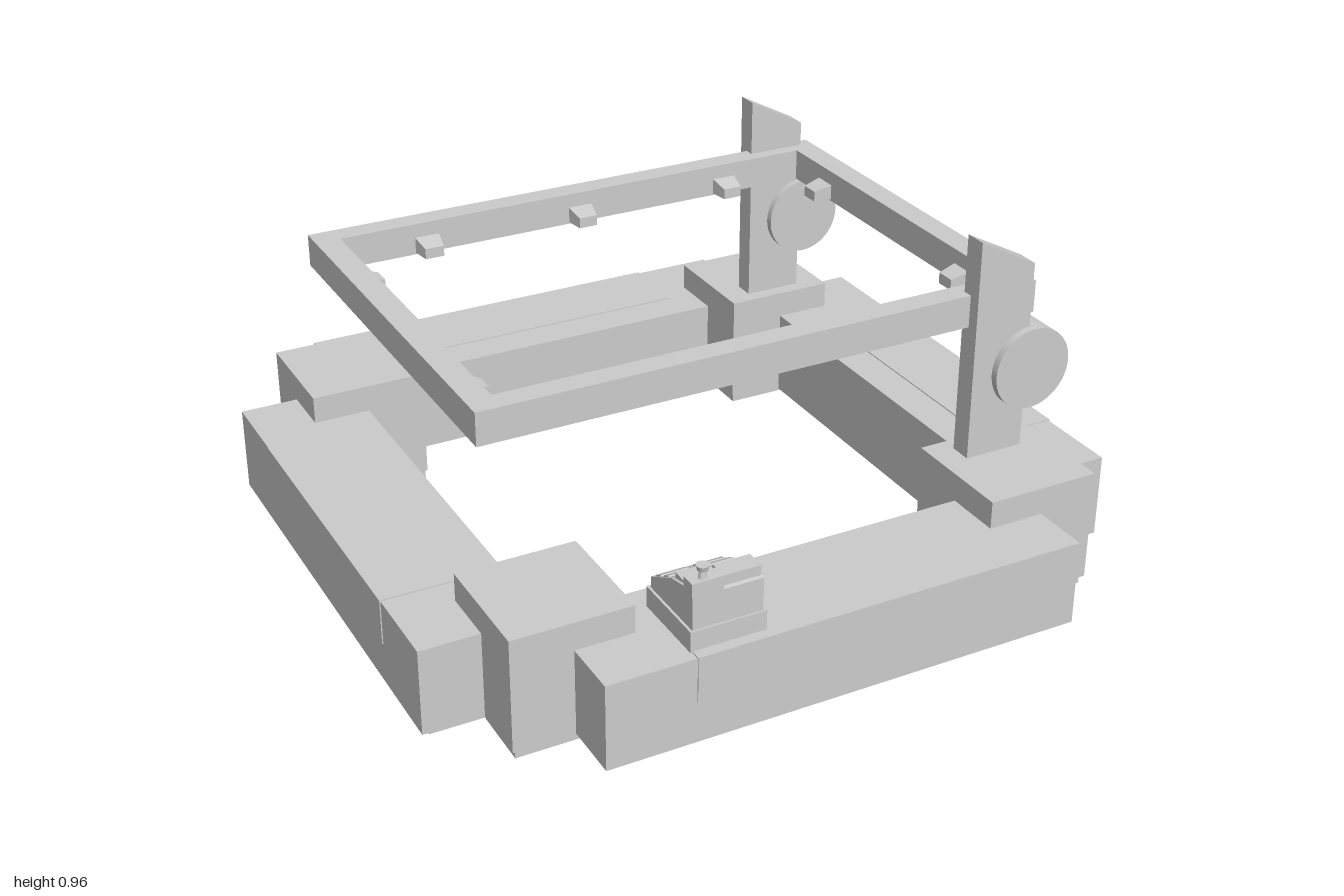
import * as THREE from 'three';

const material = new THREE.MeshStandardMaterial({ color: 0xcccccc });

function add(parent, name, geometry, x = 0, y = 0, z = 0) {
  const mesh = new THREE.Mesh(geometry, material);
  mesh.name = name;
  mesh.position.set(x, y, z);
  parent.add(mesh);
  return mesh;
}

// Box given by its minimum and maximum on each axis
function box(parent, name, [x0, x1], [y0, y1], [z0, z1]) {
  return add(parent, name, new THREE.BoxGeometry(x1 - x0, y1 - y0, z1 - z0),
    (x0 + x1) / 2, (y0 + y1) / 2, (z0 + z1) / 2);
}

// Outline extruded along z and centred on it
function extrude(points, depth) {
  const shape = new THREE.Shape(points.map(([x, y]) => new THREE.Vector2(x, y)));
  return new THREE.ExtrudeGeometry(shape, { depth, bevelEnabled: false }).translate(0, 0, -depth / 2);
}

// One side of the base, with recessed plinth and thin outer cover
function createBeam() {
  const beam = new THREE.Group();
  beam.name = 'baseBeam';
  box(beam, 'beamBody', [-0.67, 0.67], [0.025, 0.263], [0.675, 0.997]);
  box(beam, 'beamPlinth', [-0.65, 0.65], [0.005, 0.025], [0.68, 0.972]);
  box(beam, 'beamCover', [-0.43, 0.43], [0.14, 0.266], [0.78, 1]);
  return beam;
}

// Raised block at a corner of the base
function createCorner() {
  const corner = new THREE.Group();
  corner.name = 'cornerBlock';
  box(corner, 'cornerBody', [0.51, 0.835], [0.025, 0.34], [0.51, 0.835]);
  box(corner, 'cornerPlinth', [0.515, 0.825], [0, 0.025], [0.515, 0.825]);
  return corner;
}

// Slanted post with its round drive housing
function createPost(z) {
  const post = new THREE.Group();
  post.name = 'post';
  add(post, 'postColumn', extrude([[0.585, 0.34], [0.755, 0.34], [0.755, 0.87], [0.585, 0.96]], 0.062), 0, 0, z);
  const drive = add(post, 'driveHousing', new THREE.CylinderGeometry(0.115, 0.115, 0.105, 64), 0.76, 0.575, z);
  drive.rotation.x = Math.PI / 2;
  return post;
}

// Raised rectangular frame with inward clips
function createFrame() {
  const frame = new THREE.Group();
  frame.name = 'upperFrame';
  const rect = (w, d) => [[-w, -d], [w, -d], [w, d], [-w, d]].map(([x, y]) => new THREE.Vector2(x, y));
  const shape = new THREE.Shape(rect(0.79, 0.58));
  shape.holes.push(new THREE.Path(rect(0.72, 0.515)));
  const rail = add(frame, 'frameRail',
    new THREE.ExtrudeGeometry(shape, { depth: 0.09, bevelEnabled: false }), 0, 0.8, 0);
  rail.rotation.x = Math.PI / 2;

  // Wedge clip pointing along +z, tapering towards its tip
  const clip = new THREE.BoxGeometry(0.07, 0.045, 0.055);
  const p = clip.attributes.position;
  for (let i = 0; i < p.count; i++) {
    if (p.getZ(i) > 0) {
      p.setX(i, p.getX(i) * 0.78);
      if (p.getY(i) > 0) p.setY(i, 0.008);
    }
  }
  clip.computeVertexNormals();
  for (const s of [-1, 1]) {
    for (const x of [-0.47, 0, 0.47]) {
      add(frame, 'clip', clip, x, 0.737, s * 0.488).rotation.y = s > 0 ? Math.PI : 0;
    }
    for (const z of [-0.35, 0.35]) {
      add(frame, 'clip', clip, s * 0.695, 0.737, z).rotation.y = -s * Math.PI / 2;
    }
  }
  return frame;
}

// Sloped control desk with keys and a joystick
function createConsole() {
  const desk = new THREE.Group();
  desk.name = 'controlConsole';
  box(desk, 'consoleBase', [-0.435, -0.23], [0.263, 0.32], [0.745, 0.97]);
  const profile = [[0.755, 0.32], [0.965, 0.32], [0.965, 0.41], [0.925, 0.42], [0.86, 0.405], [0.755, 0.35]];
  const body = add(desk, 'consoleBody', extrude(profile, 0.19), -0.333, 0, 0);
  body.rotation.y = -Math.PI / 2;
  box(desk, 'rearPanel', [-0.34, -0.24], [0.41, 0.44], [0.9, 0.955]);
  box(desk, 'joystickBox', [-0.43, -0.345], [0.41, 0.447], [0.925, 0.965]);
  add(desk, 'joystickStem', new THREE.CylinderGeometry(0.007, 0.012, 0.03, 16), -0.393, 0.456, 0.948);
  add(desk, 'joystickKnob', new THREE.CylinderGeometry(0.017, 0.013, 0.014, 20), -0.393, 0.475, 0.948);
  // Keys lie on the slope
  for (const x of [-0.385, -0.285]) {
    for (const z of [0.785, 0.825]) {
      const key = add(desk, 'key', new THREE.BoxGeometry(0.075, 0.006, 0.025), x, 0.351 + (z - 0.755) * 0.524, z);
      key.rotation.x = -Math.atan(0.524);
    }
  }
  box(desk, 'keyBlock', [-0.42, -0.335], [0.4, 0.422], [0.865, 0.905]);
  return desk;
}

export function createModel() {
  const model = new THREE.Group();
  model.name = 'framedBay';
  for (let i = 0; i < 4; i++) {
    for (const part of [createBeam(), createCorner()]) {
      part.rotation.y = i * Math.PI / 2;
      model.add(part);
    }
  }
  model.add(createPost(0.583), createPost(-0.583), createFrame(), createConsole());
  return model;
}
